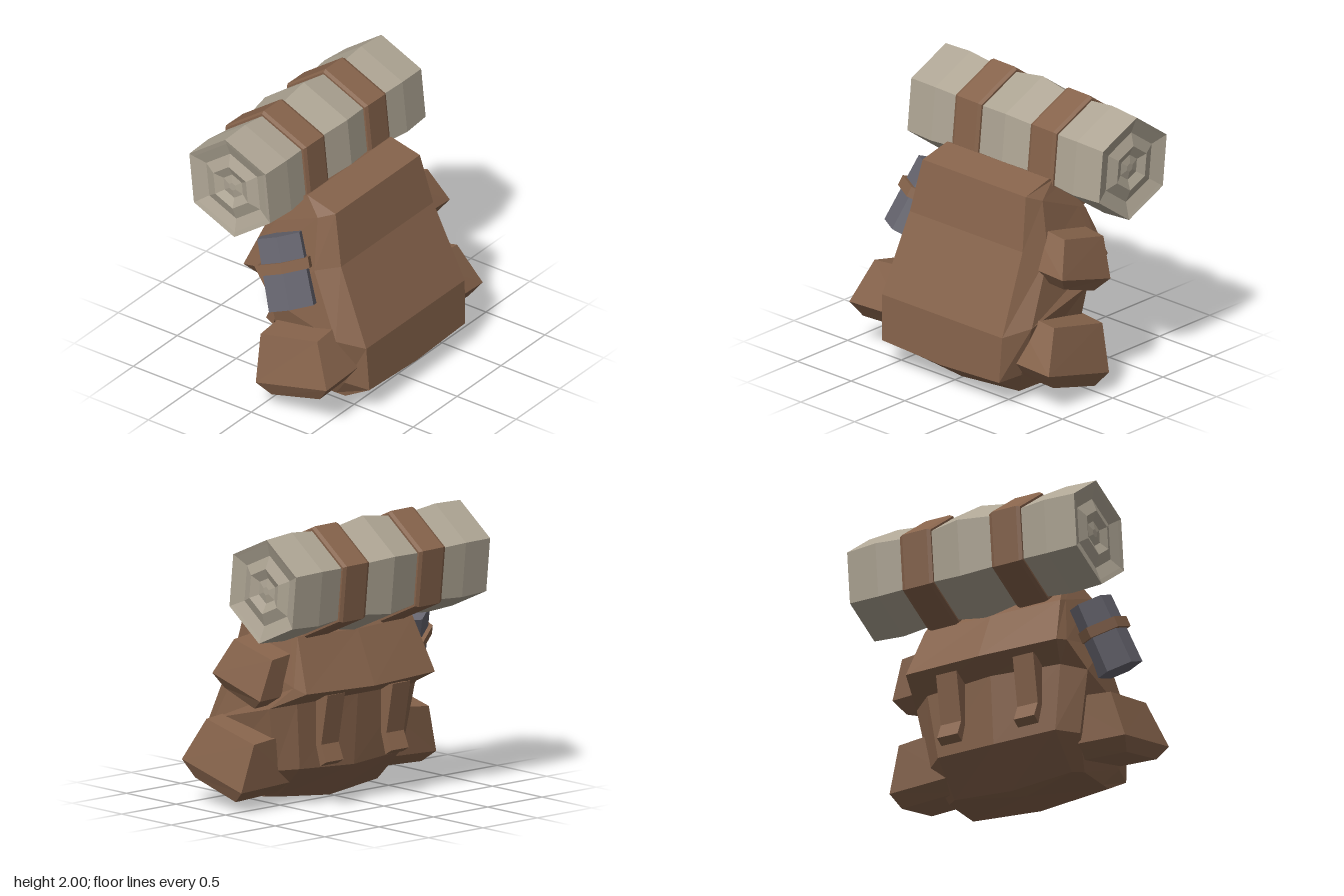
import * as THREE from 'three';

const leather = new THREE.MeshStandardMaterial({ color: 0x86634b });
leather.name = 'brown leather';
const canvas = new THREE.MeshStandardMaterial({ color: 0xaea594 });
canvas.name = 'pale canvas';
const metal = new THREE.MeshStandardMaterial({ color: 0x66656f });
metal.name = 'grey flask';

// Faceted copy of a geometry
function faceted(geo) {
  const flat = geo.index ? geo.toNonIndexed() : geo;
  flat.computeVertexNormals();
  return flat;
}

// Skin a stack of equal rings and close both ends
function loft(rings) {
  const n = rings[0].length, pos = [];
  const tri = (a, b, c) => pos.push(...a, ...b, ...c);
  for (let i = 0; i < rings.length - 1; i++) {
    for (let j = 0; j < n; j++) {
      const k = (j + 1) % n, lo = rings[i], hi = rings[i + 1];
      tri(lo[j], lo[k], hi[k]);
      tri(lo[j], hi[k], hi[j]);
    }
  }
  const middle = (r) => [0, 1, 2].map((c) => r.reduce((s, p) => s + p[c], 0) / n);
  const first = rings[0], last = rings[rings.length - 1];
  for (let j = 0; j < n; j++) {
    const k = (j + 1) % n;
    tri(middle(first), first[k], first[j]);
    tri(middle(last), last[j], last[k]);
  }
  const geo = new THREE.BufferGeometry();
  geo.setAttribute('position', new THREE.Float32BufferAttribute(pos, 3));
  return faceted(geo);
}

function add(parent, name, geo, material) {
  const mesh = new THREE.Mesh(geo, material);
  mesh.name = name;
  parent.add(mesh);
  return mesh;
}

// Pack body ring: front point, back point, widths at front, side and back, sag at the middle
function bodyRing([zf, yf, zb, yb, wf, ws, wb, sag]) {
  const at = (x, t, drop = 0) => [x + 0.01, yf + (yb - yf) * t - drop, zf + (zb - zf) * t];
  return [
    at(0, 0, sag), at(wf, 0), at(ws, 0.2), at(ws, 0.82), at(wb, 0.95),
    at(0, 1, sag), at(-wb, 0.95), at(-ws, 0.82), at(-ws, 0.2), at(-wf, 0),
  ];
}

// Hexagonal ring around the bedroll axis
function hexRing(x, r) {
  return Array.from({ length: 6 }, (_, j) => {
    const a = THREE.MathUtils.degToRad(96 - 60 * j);
    return [x, 1.6 - 0.015 * x + r * Math.sin(a), -0.287 + r * Math.cos(a)];
  });
}

// Side pouch: z,y outline in order top front, front, under front, under back, back, top back
function pouch(outline, xTop, xWide, xLow, side, dy = 0, dz = 0) {
  const xs = [xTop, xWide, xLow, xLow, xWide, xTop];
  const outer = outline.map(([z, y], i) => [xs[i], y + dy, z + dz]);
  const inner = outer.map(([, y, z], i) => [0.42, y + (i === 0 || i === 5 ? 0.04 : 0.02), z]);
  const [, f, , , b] = outer;
  const rings = [inner, outer, [f, f, f, b, b, b]];
  if (side > 0) return loft(rings);
  return loft(rings.map((r) => r.map(([x, y, z]) => [-x, y, z]).reverse()));
}

export function createModel() {
  const model = new THREE.Group();
  model.name = 'backpack';

  // Main pack with overhanging back flap
  add(model, 'packBody', loft([
    [0.44, 0.06, 0.04, 0.05, 0.53, 0.53, 0.46, 0.045],
    [0.655, 0.19, -0.21, 0.28, 0.545, 0.59, 0.46, 0.025],
    [0.64, 0.52, -0.25, 0.75, 0.56, 0.67, 0.52, 0],
    [0.4, 1.07, -0.42, 0.83, 0.525, 0.61, 0.59, 0],
    [0.32, 1.44, -0.25, 1.2, 0.48, 0.53, 0.53, 0],
    [0.08, 1.5, -0.08, 1.42, 0.475, 0.475, 0.475, 0],
  ].map(bodyRing)), leather);

  // Side pouches
  const large = [[0.39, 0.59], [0.54, 0.3], [0.45, 0.18], [0.04, 0.07], [-0.06, 0.15], [-0.09, 0.48]];
  const small = [[0.2, 1.16], [0.32, 0.92], [0.25, 0.82], [-0.05, 0.72], [-0.16, 0.79], [-0.185, 1.07]];
  add(model, 'leftLowerPouch', pouch(large, 0.82, 0.91, 0.87, 1), leather);
  add(model, 'leftUpperPouch', pouch(small, 0.74, 0.83, 0.78, 1), leather);
  add(model, 'rightLowerPouch', pouch(large, 0.82, 0.915, 0.87, -1, 0.04, 0.035), leather);

  // Bedroll with ridged, coiled ends
  add(model, 'bedroll', loft([
    [-0.83, 0.03], [-0.82, 0.09], [-0.85, 0.16], [-0.82, 0.25], [-0.85, 0.34],
    [-0.86, 0.375], [-0.63, 0.385], [-0.44, 0.365], [-0.2, 0.365], [0.04, 0.405],
    [0.27, 0.365], [0.5, 0.365], [0.69, 0.385], [0.92, 0.368],
    [0.91, 0.34], [0.88, 0.25], [0.91, 0.16], [0.88, 0.09], [0.89, 0.03],
  ].map(([x, r]) => hexRing(x, r))), canvas);

  // Straps around the bedroll
  for (const [name, x] of [['rightRollStrap', -0.32], ['leftRollStrap', 0.38]]) {
    add(model, name, loft([
      [-0.12, 0.34], [-0.12, 0.382], [-0.095, 0.396],
      [0.095, 0.396], [0.12, 0.382], [0.12, 0.34],
    ].map(([dx, r]) => hexRing(x + dx, r))), leather);
  }

  // Shoulder straps with kicked-out ends; the profile is drawn in -z,y
  const strap = new THREE.Shape([
    [0.23, 0.78], [0.23, 0.45], [0.275, 0.3], [0.335, 0.335],
    [0.285, 0.45], [0.35, 0.8],
  ].map(([z, y]) => new THREE.Vector2(z, y)));
  for (const [name, x] of [['leftShoulderStrap', 0.3], ['rightShoulderStrap', -0.3]]) {
    const geo = new THREE.ExtrudeGeometry(strap, { depth: 0.16, bevelEnabled: false });
    geo.translate(0, 0, -0.08).rotateY(Math.PI / 2);
    add(model, name, faceted(geo), leather).position.x = x;
  }

  // Tilted flask with a holding band
  const flask = new THREE.Group();
  flask.name = 'flask';
  const base = new THREE.Vector3(-0.75, 0.78, 0.17);
  const top = new THREE.Vector3(-0.63, 1.23, -0.03);
  const axis = top.clone().sub(base);
  const length = axis.length();
  flask.position.copy(base).add(top).multiplyScalar(0.5);
  flask.quaternion.setFromUnitVectors(new THREE.Vector3(0, 1, 0), axis.normalize());
  add(flask, 'flaskBody', faceted(new THREE.CylinderGeometry(0.17, 0.18, length, 6)), metal);
  add(flask, 'flaskBand', faceted(new THREE.CylinderGeometry(0.205, 0.205, 0.075, 6)), leather)
    .position.y = 0.04;
  model.add(flask);

  return model;
}
